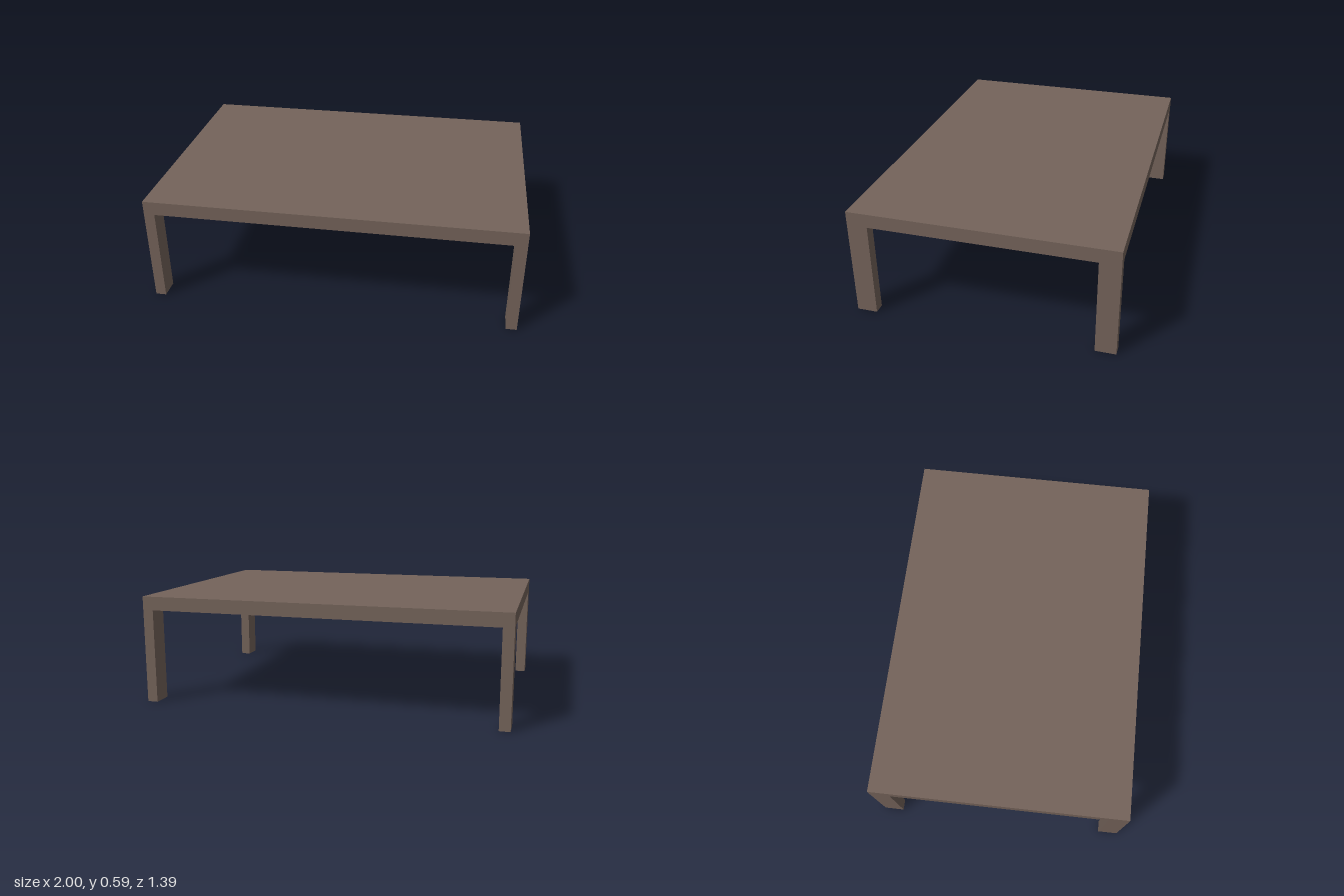
import * as THREE from 'three';

const WIDTH = 2, DEPTH = 1.39, HEIGHT = 0.594;
const TOP = 0.075, LEG_X = 0.058, LEG_Z = 0.109;

export function createModel() {
  const table = new THREE.Group();
  table.name = 'lowTable';
  const wood = new THREE.MeshStandardMaterial({ color: 0x74635a });
  wood.name = 'brown wood';

  // Slab top
  const top = new THREE.Mesh(new THREE.BoxGeometry(WIDTH, TOP, DEPTH), wood);
  top.name = 'tableTop';
  top.position.y = HEIGHT - TOP / 2;
  table.add(top);

  // Four flat legs, flush with the corners
  const legHeight = HEIGHT - TOP;
  const legGeometry = new THREE.BoxGeometry(LEG_X, legHeight, LEG_Z);
  for (const [xName, sx] of [['Left', 1], ['Right', -1]]) {
    for (const [zName, sz] of [['front', 1], ['back', -1]]) {
      const leg = new THREE.Mesh(legGeometry, wood);
      leg.name = `${zName}${xName}Leg`;
      leg.position.set(sx * (WIDTH - LEG_X) / 2, legHeight / 2, sz * (DEPTH - LEG_Z) / 2);
      table.add(leg);
    }
  }
  return table;
}
